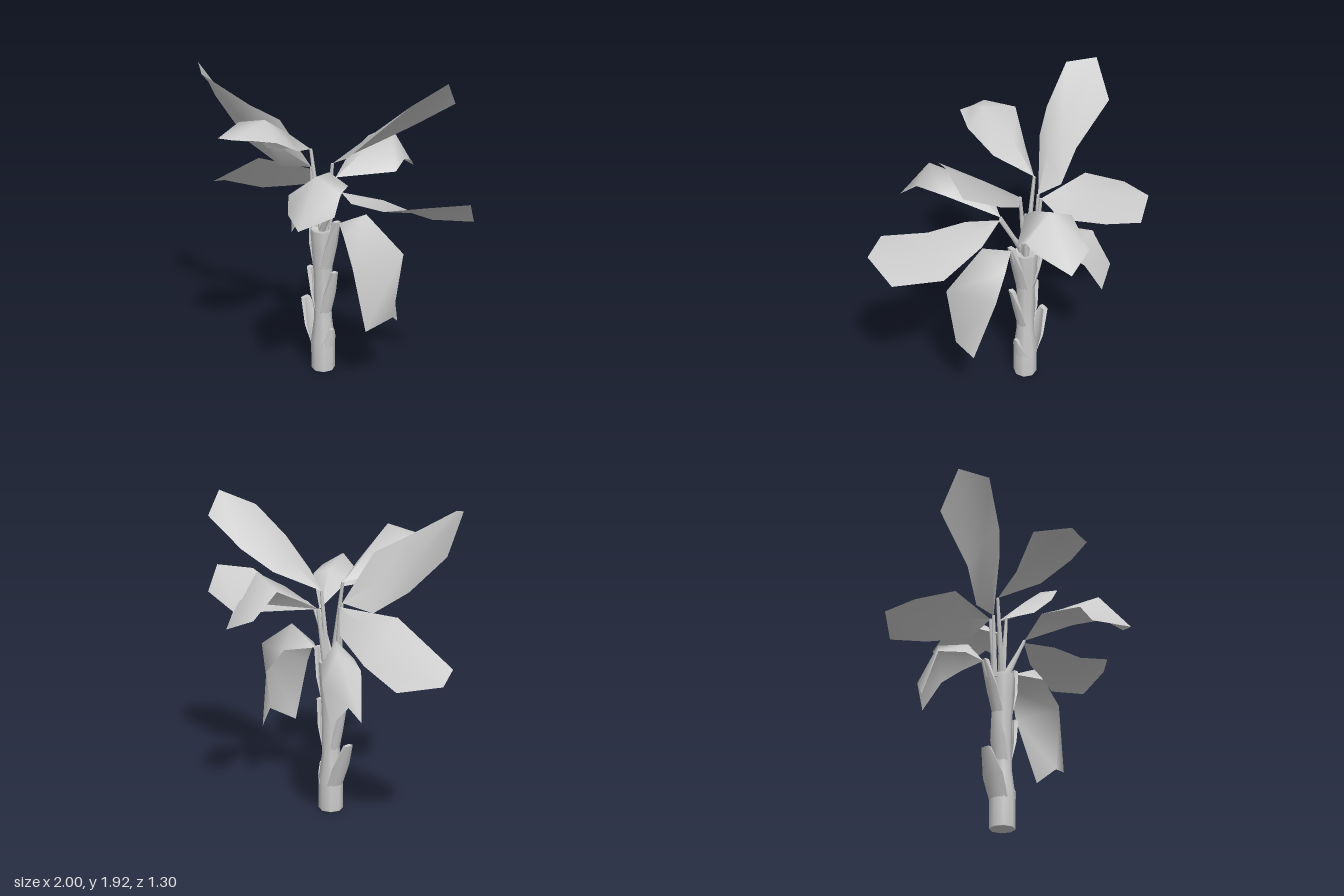
import * as THREE from 'three';

const material = new THREE.MeshStandardMaterial({ color: 0xcccccc, side: THREE.DoubleSide });
const TRUNK_X = -0.07, TRUNK_Z = -0.01;

// Skin a list of cross-sections, each holding the same number of [x, y, z] points
function loft(name, rows) {
  const n = rows[0].length, index = [];
  for (let r = 0; r < rows.length - 1; r++) {
    for (let c = 0; c < n - 1; c++) {
      const a = r * n + c, b = a + n;
      index.push(a, b, a + 1, a + 1, b, b + 1);
    }
  }
  const g = new THREE.BufferGeometry();
  g.setAttribute('position', new THREE.Float32BufferAttribute(rows.flat(2), 3));
  g.setIndex(index);
  g.computeVertexNormals();
  const mesh = new THREE.Mesh(g, material);
  mesh.name = name;
  return mesh;
}

// Tapered stalk from the crown of the trunk to the foot of a blade
function stalk(startX, base) {
  const end = new THREE.Vector3(...base);
  const start = new THREE.Vector3(startX, Math.min(0.92, end.y - 0.2),
    TRUNK_Z + THREE.MathUtils.clamp(end.z * 0.4, -0.03, 0.03));
  const dir = end.clone().sub(start);
  const mesh = new THREE.Mesh(new THREE.CylinderGeometry(0.01, 0.02, dir.length(), 5), material);
  mesh.position.copy(start).addScaledVector(dir, 0.5);
  mesh.quaternion.setFromUnitVectors(new THREE.Vector3(0, 1, 0), dir.normalize());
  mesh.name = 'stalk';
  return mesh;
}

// A leaf: where its stalk starts, its foot, then cross-sections of [one edge, midrib, other edge]
function leaf(name, startX, base, ...rows) {
  const group = new THREE.Group();
  group.name = name;
  group.add(stalk(startX, base), loft('blade', [[base, base, base], ...rows]));
  return group;
}

// Leaf sheath: grows out of the trunk surface and leans away to a narrow tip
function sheath(angle, y, footRadius, tipRadius, height) {
  const skin = (inset) => [[0, 1.1], [0.45, 0.7], [1, 0.18]].map(([t, spread]) =>
    [-1, -0.5, 0, 0.5, 1].map((s) => {
      const a = angle + s * spread;
      const r = THREE.MathUtils.lerp(footRadius, tipRadius, t) - inset * t;
      return [TRUNK_X + Math.cos(a) * r, y + t * height, TRUNK_Z + Math.sin(a) * r];
    }));
  const outer = skin(0), inner = skin(0.03);
  const group = new THREE.Group();
  group.name = 'leafSheath';
  group.add(loft('sheathOutside', outer), loft('sheathInside', inner),
    loft('sheathTip', [outer[2], inner[2]]));
  for (const side of [0, 4]) {
    group.add(loft('sheathEdge', outer.map((row, i) => [row[side], inner[i][side]])));
  }
  return group;
}

export function createModel() {
  const model = new THREE.Group();
  model.name = 'palmPlant';

  // Trunk with a waist and a flared crown
  const profile = [[0, 0], [0.074, 0], [0.075, 0.004], [0.075, 0.2], [0.055, 0.36], [0.054, 0.5],
    [0.057, 0.65], [0.067, 0.82], [0.075, 0.94], [0.07, 0.95], [0, 0.93]];
  const trunk = new THREE.Mesh(
    new THREE.LatheGeometry(profile.map(([r, y]) => new THREE.Vector2(r, y)), 8), material);
  trunk.position.set(TRUNK_X, 0, TRUNK_Z);
  trunk.name = 'trunk';
  model.add(trunk);

  // Old cut sheaths up the trunk, then the two that carry the drooping leaves
  model.add(
    sheath(0, 0.17, 0.075, 0.082, 0.12),
    sheath(Math.PI, 0.17, 0.075, 0.16, 0.28),
    sheath(0.1, 0.4, 0.054, 0.115, 0.29),
    sheath(Math.PI - 0.2, 0.4, 0.054, 0.105, 0.28),
    sheath(0, 0.7, 0.06, 0.125, 0.32),
    sheath(Math.PI + 0.4, 0.7, 0.06, 0.135, 0.33));

  // Raised leaves
  model.add(
    leaf('upperLeftLeaf', -0.055, [-0.01, 1.37, -0.03],
      [[0.17, 1.46, 0.05], [0.16, 1.525, -0.1], [0.17, 1.49, -0.25]],
      [[0.37, 1.64, 0.04], [0.34, 1.68, -0.15], [0.36, 1.61, -0.33]],
      [[0.55, 1.82, -0.04], [0.645, 1.92, -0.25], [0.62, 1.78, -0.36]]),
    leaf('upperRightLeaf', -0.14, [-0.16, 1.32, -0.01],
      [[-0.28, 1.62, 0.13], [-0.34, 1.47, 0.13], [-0.37, 1.29, 0.03]],
      [[-0.42, 1.71, 0.24], [-0.52, 1.6, 0.21], [-0.56, 1.43, 0.12]],
      [[-0.675, 1.875, 0.37], [-0.82, 1.905, 0.26], [-0.82, 1.67, 0.13]]),
    leaf('frontRightLeaf', -0.075, [-0.145, 1.44, 0.01],
      [[-0.27, 1.48, 0.25], [-0.145, 1.58, 0.2], [-0.03, 1.51, 0.25]],
      [[-0.325, 1.665, 0.42], [-0.1, 1.725, 0.44], [0.005, 1.615, 0.455]],
      [[-0.26, 1.635, 0.65], [-0.15, 1.64, 0.63], [-0.05, 1.655, 0.61]]));

  // Spreading leaves
  model.add(
    leaf('sideLeftLeaf', -0.08, [0.1, 1.23, 0.02],
      [[0.27, 1.23, 0.13], [0.3, 1.23, 0.02], [0.32, 1.2, -0.1]],
      [[0.52, 1.25, 0.15], [0.6, 1.22, 0], [0.63, 1.14, -0.16]],
      [[0.82, 1.35, 0.16], [1, 1.37, 0.01], [0.94, 1.22, -0.12]]),
    leaf('sideRightLeaf', -0.13, [-0.165, 1.3, -0.03],
      [[-0.36, 1.3, 0], [-0.34, 1.25, -0.07], [-0.25, 1.165, -0.12]],
      [[-0.56, 1.3, 0.03], [-0.56, 1.21, -0.08], [-0.53, 1.06, -0.21]],
      [[-0.935, 1.07, 0.07], [-1, 1.02, -0.09], [-0.8, 0.975, -0.24]]),
    leaf('frontLeftLeaf', -0.07, [0.08, 1.23, 0.04],
      [[0.045, 1.35, 0.2], [0.19, 1.43, 0.23], [0.33, 1.38, 0.23]],
      [[0.085, 1.33, 0.455], [0.29, 1.485, 0.455], [0.42, 1.4, 0.4]],
      [[0.13, 1.24, 0.51], [0.335, 1.235, 0.65], [0.47, 1.31, 0.51]]),
    leaf('backLeaf', -0.05, [-0.02, 1.27, -0.07],
      [[-0.07, 1.35, -0.24], [0.06, 1.42, -0.25], [0.24, 1.3, -0.32]],
      [[-0.06, 1.44, -0.43], [0.1, 1.53, -0.44], [0.24, 1.36, -0.4]],
      [[-0.05, 1.3, -0.6], [0.12, 1.23, -0.655], [0.235, 1.33, -0.48]]));

  // Drooping leaves with notched tips
  model.add(
    leaf('droopingLeftLeaf', -0.01, [0.05, 1.01, -0.02],
      [[0.19, 0.99, 0.1], [0.26, 1.12, -0.02], [0.19, 0.99, -0.15]],
      [[0.29, 0.84, 0.14], [0.53, 0.94, -0.03], [0.3, 0.84, -0.2]],
      [[0.37, 0.44, 0.11], [0.47, 0.52, -0.02], [0.42, 0.44, -0.13]]),
    leaf('droopingRightLeaf', -0.13, [-0.19, 1.02, -0.06],
      [[-0.33, 1.03, -0.08], [-0.24, 1.135, -0.14], [-0.2, 1, -0.22]],
      [[-0.47, 1.01, -0.17], [-0.375, 1.11, -0.26], [-0.29, 0.91, -0.3]],
      [[-0.535, 0.73, -0.23], [-0.5, 0.83, -0.3], [-0.4, 0.705, -0.345]]));

  return model;
}
